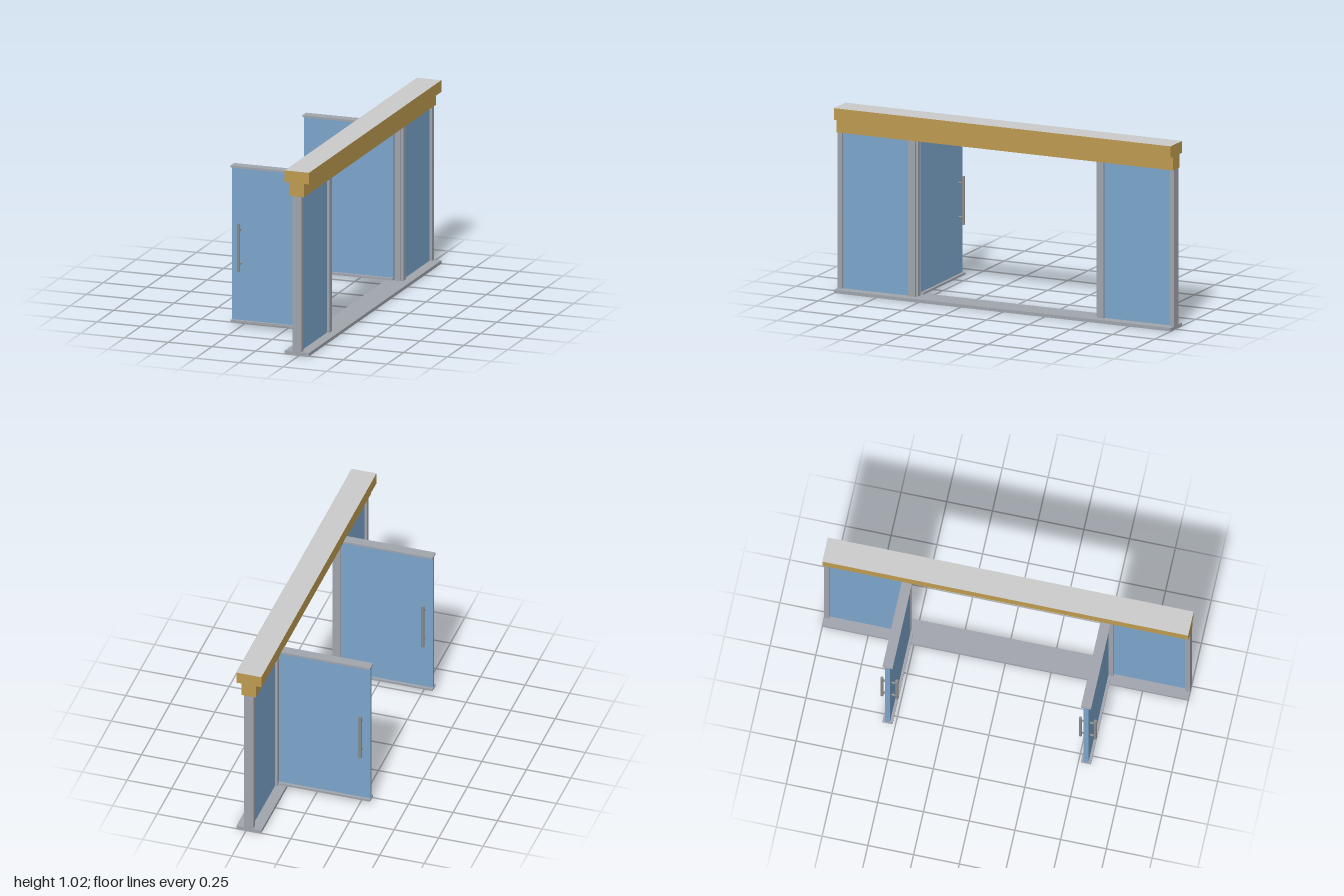
import * as THREE from 'three';

const mat = (name, color) => {
  const m = new THREE.MeshStandardMaterial({ color });
  m.name = name;
  return m;
};

export function createModel() {
  const metal = mat('grey metal', 0xa0a4ac);
  const glass = mat('blue glass', 0x7ba5cb);
  const timber = mat('golden timber', 0xbd9b50);
  const roofing = mat('light grey top', 0xcacaca);
  const steel = mat('handle steel', 0x8c8c8c);
  const model = new THREE.Group();
  model.name = 'doubleDoorEntrance';

  // Box given by its lower and upper corners
  const box = (parent, name, material, [x0, y0, z0], [x1, y1, z1]) => {
    const mesh = new THREE.Mesh(new THREE.BoxGeometry(x1 - x0, y1 - y0, z1 - z0), material);
    mesh.position.set((x0 + x1) / 2, (y0 + y1) / 2, (z0 + z1) / 2);
    mesh.name = name;
    parent.add(mesh);
    return mesh;
  };

  // Sill and stepped header beam with a pale upper face
  box(model, 'sill', metal, [0.165, 0, -1], [0.305, 0.018, 1]);
  box(model, 'lowerBeam', timber, [0.195, 0.878, -1], [0.275, 0.952, 1]);
  box(model, 'upperBeam', [timber, timber, roofing, timber, timber, timber],
    [0.165, 0.952, -1], [0.305, 1.017, 1]);

  // Upright bar between the inner and outer handles
  const addHandle = (parent, z, doorFace) => {
    const handle = new THREE.Group();
    handle.name = 'handle';
    const bar = new THREE.Mesh(new THREE.CylinderGeometry(0.009, 0.009, 0.265, 12), steel);
    bar.name = 'handleBar';
    bar.position.set(-0.256, 0.4405, z);
    handle.add(bar);
    for (const y of [0.347, 0.535]) {
      const stem = new THREE.Mesh(
        new THREE.CylinderGeometry(0.006, 0.006, Math.abs(doorFace - z), 10), steel);
      stem.name = 'handleStem';
      stem.rotation.x = Math.PI / 2;
      stem.position.set(-0.256, y, (z + doorFace) / 2);
      handle.add(stem);
    }
    parent.add(handle);
  };

  // Each end: fixed panel between two posts, and an open door
  for (const side of [1, -1]) {
    const end = new THREE.Group();
    end.name = side > 0 ? 'frontBay' : 'backBay';
    const part = (name, material, [x0, y0, z0], [x1, y1, z1]) =>
      box(end, name, material, [x0, y0, Math.min(z0 * side, z1 * side)],
        [x1, y1, Math.max(z0 * side, z1 * side)]);

    part('outerPost', metal, [0.21, 0.018, 0.973], [0.262, 0.878, 1]);
    part('innerPost', metal, [0.21, 0.018, 0.54], [0.262, 0.878, 0.58]);
    part('hingeStrip', metal, [0.215, 0.018, 0.53], [0.245, 0.878, 0.54]);
    part('fixedPane', glass, [0.224, 0.018, 0.58], [0.248, 0.878, 0.973]);

    part('doorPane', glass, [-0.303, 0.033, 0.53], [0.209, 0.877, 0.555]);
    part('doorBottomRail', metal, [-0.306, 0.021, 0.515], [0.209, 0.033, 0.57]);
    part('doorTopRail', metal, [-0.306, 0.877, 0.515], [0.209, 0.888, 0.57]);
    addHandle(end, 0.502 * side, 0.53 * side);
    addHandle(end, 0.583 * side, 0.555 * side);
    model.add(end);
  }
  return model;
}
